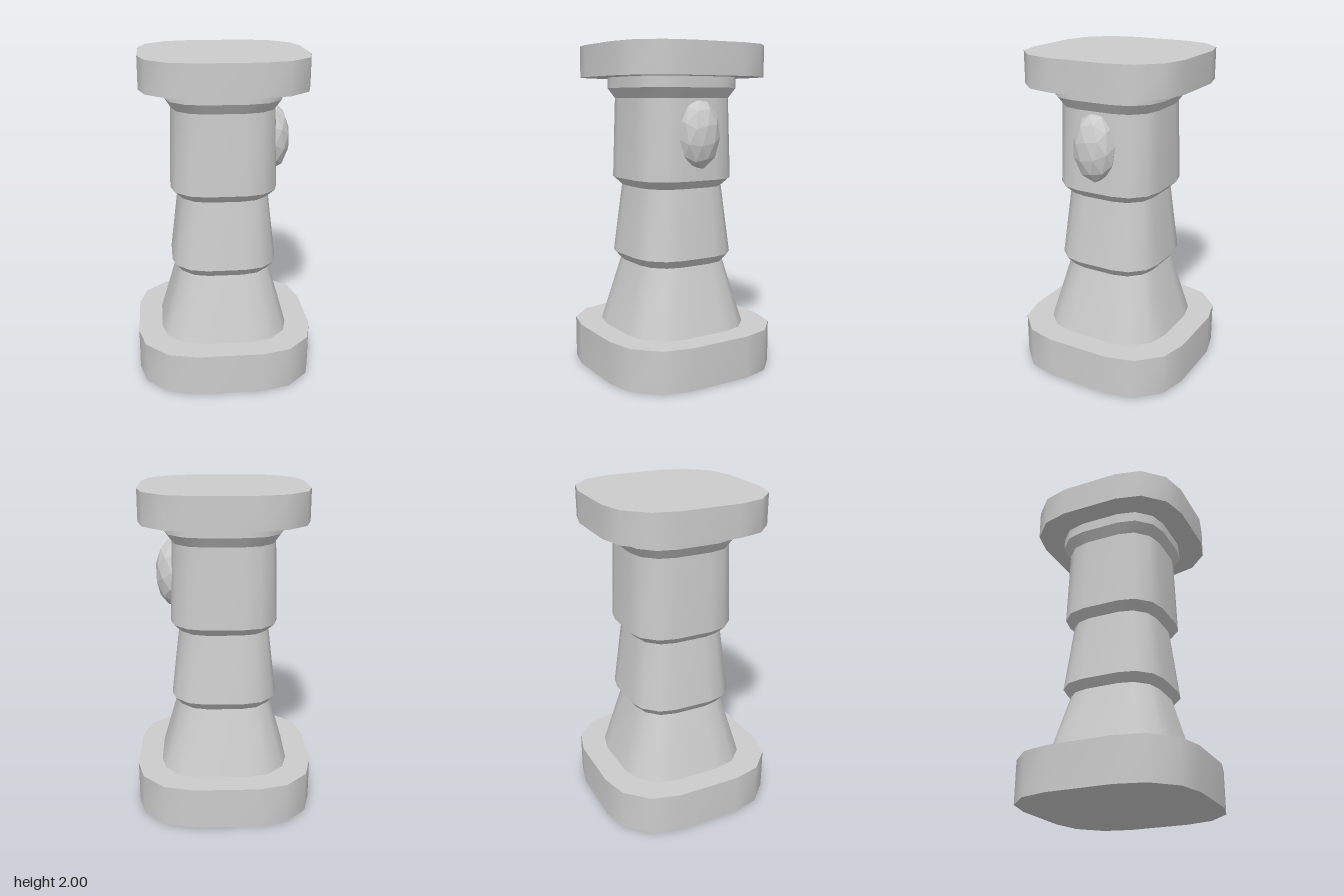
import * as THREE from 'three';
import { mergeGeometries } from 'three/addons/utils/BufferGeometryUtils.js';

// Rounded-square outline of half-width 1: one quarter, turned four times
const QUARTER = [[1, -0.36], [1, 0.36], [0.92, 0.675], [0.675, 0.92]];
const OUTLINE = [];
for (let q = 0; q < 4; q++) {
  for (const [x, z] of QUARTER.slice(0, 3).concat([QUARTER[3]])) {
    let p = [x, z];
    for (let k = 0; k < q; k++) p = [-p[1], p[0]];
    // the last corner of each quarter's flat side is shared with the next one
    if (!OUTLINE.some(o => Math.hypot(o[0] - p[0], o[1] - p[1]) < 0.01)) OUTLINE.push(p);
  }
}
const N = OUTLINE.length;

function makeGeometry(points, index) {
  const g = new THREE.BufferGeometry();
  g.setAttribute('position', new THREE.Float32BufferAttribute(points.flat(), 3));
  g.setIndex(index);
  g.computeVertexNormals();
  return g;
}

const ring = (r, y) => OUTLINE.map(([x, z]) => [x * r, y, z * r]);

// Smooth around the outline, creased at its upper and lower edges
function band([r0, y0], [r1, y1]) {
  const index = [];
  for (let i = 0; i < N; i++) {
    const j = (i + 1) % N;
    index.push(i, N + i, j, j, N + i, N + j);
  }
  return makeGeometry([...ring(r0, y0), ...ring(r1, y1)], index);
}

function cap([r, y], up) {
  const index = [];
  for (let i = 0; i < N; i++) {
    const j = (i + 1) % N;
    index.push(N, ...(up ? [j, i] : [i, j]));
  }
  return makeGeometry([...ring(r, y), [0, y, 0]], index);
}

// Stack of bands through [half-width, height] pairs, closed at both ends
function stack(profile) {
  const parts = [cap(profile[0], false), cap(profile[profile.length - 1], true)];
  for (let i = 1; i < profile.length; i++) parts.push(band(profile[i - 1], profile[i]));
  return mergeGeometries(parts);
}

export function createModel() {
  const group = new THREE.Group();
  const grey = new THREE.MeshStandardMaterial({ color: 0xcccccc });
  const add = (name, geometry, material = grey) => {
    const mesh = new THREE.Mesh(geometry, material);
    mesh.name = name;
    group.add(mesh);
    return mesh;
  };

  add('base', stack([[0.55, 0], [0.55, 0.26]]));

  // Three flared tiers with bevelled undersides, and a collar
  add('shaft', stack([
    [0.40, 0.26], [0.285, 0.67], [0.325, 0.72], [0.275, 1.145],
    [0.325, 1.195], [0.31, 1.685], [0.35, 1.745], [0.35, 1.81],
  ]));

  add('topSlab', stack([[0.5, 1.81], [0.5, 2]]));

  // Faceted oval stone set into the left side
  const stone = new THREE.IcosahedronGeometry(1, 1);
  stone.rotateZ(0.27);
  stone.rotateX(0.12);
  stone.scale(0.107, 0.21, 0.138);
  add('stone', stone, new THREE.MeshStandardMaterial({ color: 0xcccccc, flatShading: true }))
    .position.set(0.31, 1.47, 0);

  return group;
}
